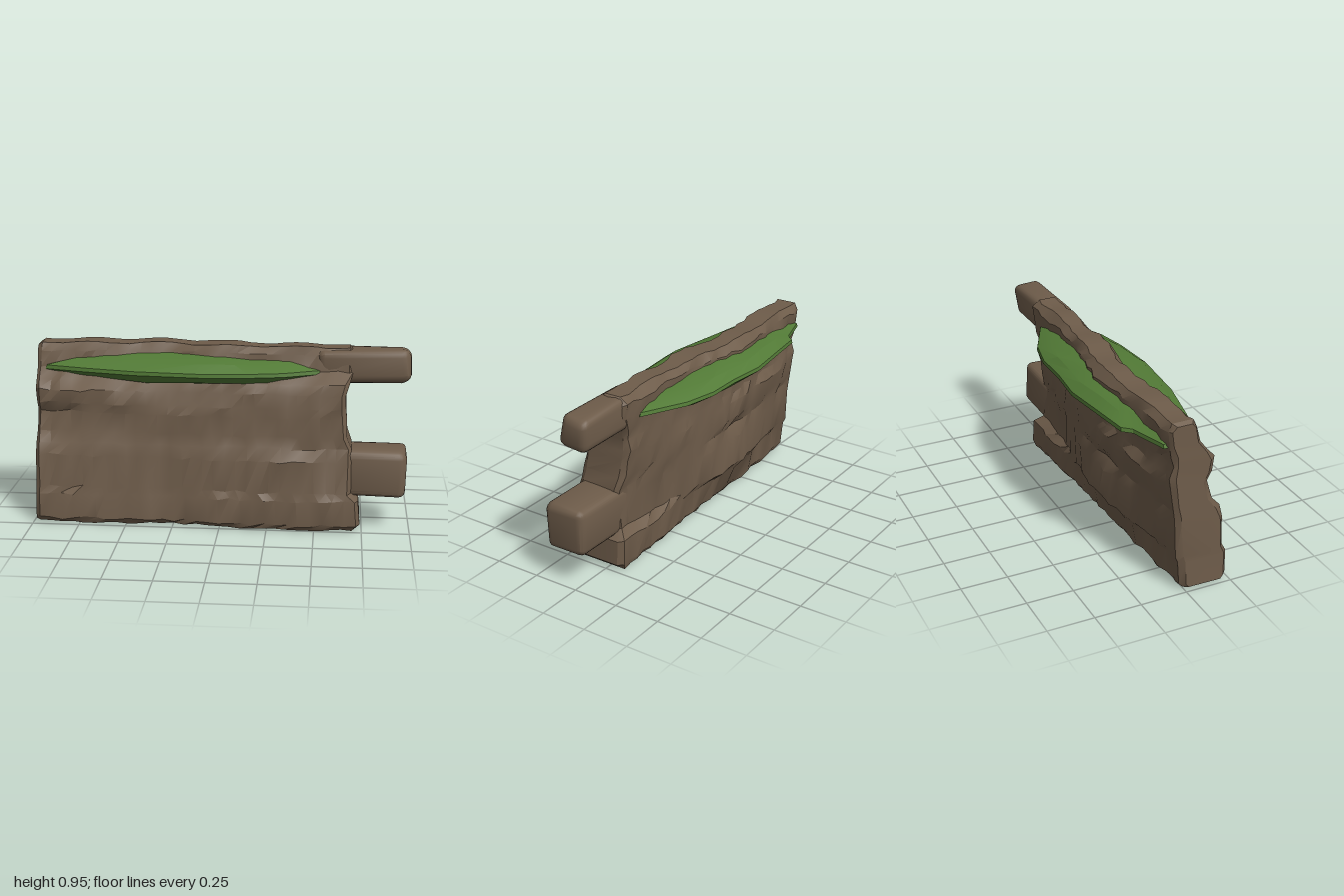
import * as THREE from 'three';
import { mergeVertices, toCreasedNormals } from 'three/addons/utils/BufferGeometryUtils.js';
import { RoundedBoxGeometry } from 'three/addons/geometries/RoundedBoxGeometry.js';

// heights of the wall courses
const LEVELS = [0.012, 0.04, 0.17, 0.21, 0.38, 0.44, 0.5, 0.6, 0.65, 0.72, 0.77, 0.83, 0.91, 0.95];
// x of the profile stations, with the wall's front and back depth at every level
const STATIONS = [-0.98, -0.7, -0.28, -0.04, 0.3, 0.74];
const FRONT = [
  [0.22, 0.24, 0.24, 0.22, 0.21, 0.18, 0.13, 0.1, 0.13, 0.14, 0.11, 0.06, 0.045, 0.02],
  [0.22, 0.24, 0.23, 0.21, 0.21, 0.19, 0.17, 0.15, 0.16, 0.15, 0.1, 0.06, 0.04, 0.02],
  [0.2, 0.22, 0.21, 0.2, 0.2, 0.18, 0.17, 0.17, 0.16, 0.14, 0.11, 0.04, 0.01, -0.02],
  [0.23, 0.25, 0.24, 0.22, 0.22, 0.2, 0.18, 0.18, 0.17, 0.15, 0.13, 0.08, 0.065, 0.04],
  [0.25, 0.27, 0.265, 0.25, 0.25, 0.2, 0.19, 0.185, 0.175, 0.17, 0.14, 0.07, 0.05, 0.03],
  [0.23, 0.25, 0.25, 0.23, 0.22, 0.2, 0.195, 0.185, 0.18, 0.175, 0.15, 0.08, 0.07, 0.04]
];
const BACK = [
  [0, -0.02, -0.03, -0.04, -0.06, -0.06, -0.07, -0.08, -0.09, -0.08, -0.08, -0.1, -0.11, -0.08],
  [-0.02, -0.04, -0.05, -0.08, -0.09, -0.08, -0.1, -0.11, -0.09, -0.09, -0.1, -0.13, -0.13, -0.1],
  [-0.04, -0.06, -0.1, -0.135, -0.13, -0.1, -0.13, -0.135, -0.12, -0.12, -0.13, -0.16, -0.16, -0.12],
  [-0.04, -0.06, -0.08, -0.12, -0.13, -0.12, -0.13, -0.13, -0.12, -0.12, -0.12, -0.12, -0.12, -0.09],
  [-0.06, -0.08, -0.08, -0.06, -0.07, -0.08, -0.09, -0.1, -0.09, -0.09, -0.09, -0.09, -0.09, -0.06],
  [-0.08, -0.1, -0.1, -0.04, -0.03, -0.04, -0.05, -0.07, -0.08, -0.08, -0.08, -0.1, -0.1, -0.06]
];
// right-hand end of the wall at every level
const RIGHT_END = [0.72, 0.74, 0.73, 0.69, 0.69, 0.69, 0.665, 0.66, 0.655, 0.655, 0.67, 0.69, 0.69, 0.69];

function sample(table, x, level) {
  let s = 0;
  while (s < STATIONS.length - 2 && x > STATIONS[s + 1]) s++;
  const t = THREE.MathUtils.clamp((x - STATIONS[s]) / (STATIONS[s + 1] - STATIONS[s]), 0, 1);
  return THREE.MathUtils.lerp(table[s][level], table[s + 1][level], t);
}

function seeded(seed) {
  return () => {
    seed = (seed * 16807) % 2147483647;
    return seed / 2147483647 - 0.5;
  };
}

function meshGeometry(positions, indices, crease) {
  const geometry = new THREE.BufferGeometry();
  geometry.setAttribute('position', new THREE.Float32BufferAttribute(positions, 3));
  geometry.setIndex(indices);
  return toCreasedNormals(geometry, crease);
}

// rough wall lofted from left to right through closed cross-sections
function wallGeometry() {
  const rand = seeded(41);
  const columns = 30, n = LEVELS.length, ring = n * 2;
  const positions = [], indices = [];
  for (let i = 0; i <= columns; i++) {
    const end = i === 0 || i === columns;
    const t = i === 0 ? 0 : i === columns ? 1 : 0.012 + 0.976 * (i - 1) / (columns - 2);
    for (let k = 0; k < ring; k++) {
      const front = k < n;
      const level = front ? k : ring - 1 - k;
      const x = THREE.MathUtils.lerp(-0.985, RIGHT_END[level], t);
      const f = sample(FRONT, x, level), b = sample(BACK, x, level);
      let z = front ? f : b;
      if (end) z = THREE.MathUtils.lerp(z, (f + b) / 2, 0.2);
      else z += rand() * 0.018;
      let y = LEVELS[level];
      if (level === n - 1) y += 0.006 * Math.sin(x * 17 + 1) - (end ? 0.015 : 0);
      else if (level > 0) y += end ? 0 : rand() * 0.016;
      else y += end ? 0.008 : rand() * 0.012;
      const shift = end ? rand() * 0.01 : rand() * 0.014;
      positions.push(x + shift * (i > 1 && i < columns - 1 ? 1 : 0.4), y, z);
    }
  }
  const quad = (a, b, c, d) => indices.push(a, b, c, a, c, d);
  for (let i = 0; i < columns; i++) {
    for (let k = 0; k < ring; k++) {
      const next = (k + 1) % ring, p = i * ring, q = p + ring;
      quad(p + k, q + k, q + next, p + next);
    }
  }
  // end caps
  const last = columns * ring;
  for (let k = 0; k < n - 1; k++) {
    const back = ring - 1 - k;
    quad(last + k, last + back, last + back - 1, last + k + 1);
    quad(k, k + 1, back - 1, back);
  }
  return meshGeometry(positions, indices, 0.5);
}

// worn stone block spanning two corners
function stoneGeometry(min, max, radius) {
  const size = max.map((v, i) => v - min[i]);
  const source = new RoundedBoxGeometry(...size, 2, radius);
  source.translate(...max.map((v, i) => (v + min[i]) / 2));
  source.deleteAttribute('normal');
  source.deleteAttribute('uv');
  const geometry = mergeVertices(source, 1e-4);
  const p = geometry.attributes.position;
  for (let i = 0; i < p.count; i++) {
    const x = p.getX(i), y = p.getY(i), z = p.getZ(i);
    p.setXYZ(i,
      x + 0.006 * Math.sin(y * 31 + z * 23),
      y + 0.006 * Math.sin(x * 19 + z * 27),
      z + 0.006 * Math.sin(x * 23 + y * 29));
  }
  return toCreasedNormals(geometry, 0.6);
}

// flat lens of moss that runs through the wall
function mossGeometry() {
  const outline = [
    [-0.94, 0.07], [-0.72, 0.13], [-0.45, 0.19], [-0.1, 0.22], [0.15, 0.2], [0.33, 0.165], [0.52, 0.08],
    [0.57, -0.1], [0.33, -0.22], [0.15, -0.26], [-0.05, -0.26], [-0.26, -0.28], [-0.5, -0.25],
    [-0.71, -0.225], [-0.75, -0.18], [-0.95, -0.12]
  ];
  const cx = -0.2, cz = -0.03, n = outline.length;
  const layers = [[0.4, 0.75], [0.78, 0.772], [1, 0.815], [0.99, 0.835], [0.78, 0.872], [0.4, 0.898]];
  const positions = [], indices = [];
  layers.forEach(([scale, y]) => outline.forEach(([x, z], i) => {
    const wobble = scale === 0.78 ? 0.006 * Math.sin(i * 2.3) : 0;
    positions.push(cx + (x - cx) * scale, y + wobble, cz + (z - cz) * scale);
  }));
  const bottom = layers.length * n, top = bottom + 1;
  positions.push(cx, 0.745, cz, cx, 0.905, cz);
  for (let i = 0; i < n; i++) {
    const j = (i + 1) % n;
    for (let r = 0; r < layers.length - 1; r++) {
      const p = r * n, q = p + n;
      indices.push(p + i, p + j, q + j, p + i, q + j, q + i);
    }
    indices.push(j, i, bottom);
    const p = (layers.length - 1) * n;
    indices.push(p + i, p + j, top);
  }
  return meshGeometry(positions, indices, 0.35);
}

export function createModel() {
  const group = new THREE.Group();
  const stone = new THREE.MeshStandardMaterial({ color: 0x6e5c4a });
  stone.name = 'brown stone';
  const moss = new THREE.MeshStandardMaterial({ color: 0x527a36 });
  moss.name = 'green moss';

  const add = (name, geometry, material) => {
    const mesh = new THREE.Mesh(geometry, material);
    mesh.name = name;
    group.add(mesh);
  };
  add('wall', wallGeometry(), stone);
  // blocks jutting out of the broken end
  add('upperEndStone', stoneGeometry([0.5, 0.765, -0.085], [0.99, 0.945, 0.075], 0.045), stone);
  add('lowerEndStone', stoneGeometry([0.5, 0.185, -0.04], [0.98, 0.435, 0.2], 0.04), stone);
  add('moss', mossGeometry(), moss);
  return group;
}
